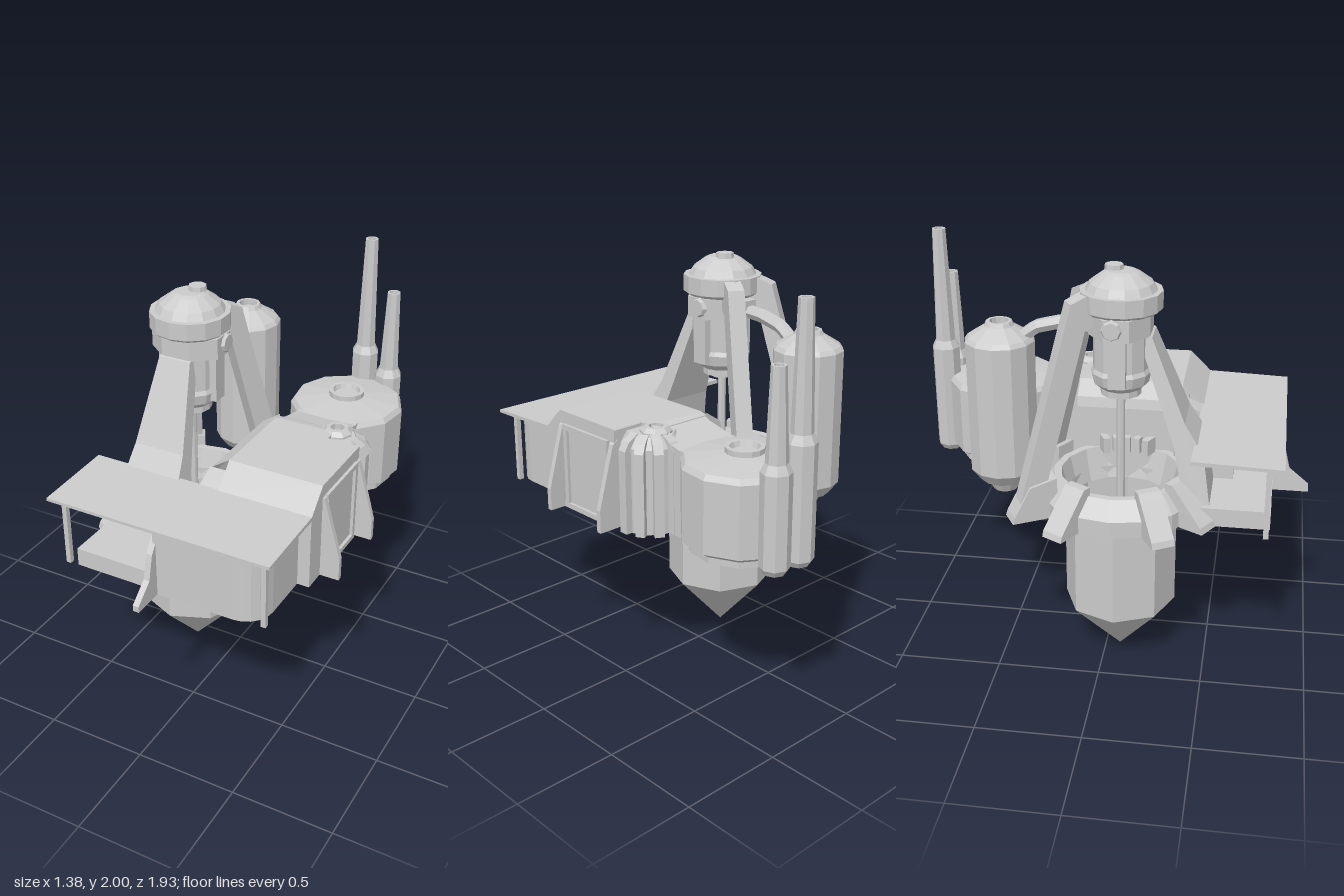
import * as THREE from 'three';

const mat = new THREE.MeshStandardMaterial({ color: 0xcccccc, flatShading: true, side: THREE.DoubleSide });
const CX = -0.225, CZ = 0.07; // axis of the drill tower
const BASE = 0.83;            // underside of the surface works

export function createModel() {
  const root = new THREE.Group();

  const add = (name, geo, x = 0, y = 0, z = 0) => {
    const m = new THREE.Mesh(geo, mat);
    m.name = name;
    m.position.set(x, y, z);
    root.add(m);
    return m;
  };
  const box = (name, x0, x1, y0, y1, z0, z1) =>
    add(name, new THREE.BoxGeometry(x1 - x0, y1 - y0, z1 - z0), (x0 + x1) / 2, (y0 + y1) / 2, (z0 + z1) / 2);
  const lathe = (name, pts, sides, x, z) =>
    add(name, new THREE.LatheGeometry(pts.map(p => new THREE.Vector2(...p)), sides), x, 0, z);
  const extrude = (pts, depth) =>
    new THREE.ExtrudeGeometry(new THREE.Shape(pts.map(p => new THREE.Vector2(...p))), { depth, bevelEnabled: false });
  // profile in (z, y), extruded from x0 to x1
  const sideSlab = (name, pts, x0, x1) =>
    add(name, extrude(pts, x1 - x0).rotateY(-Math.PI / 2).translate(x1, 0, 0));
  // profile in (x, y), extruded from z0 to z1
  const frontSlab = (name, pts, z0, z1) => add(name, extrude(pts, z1 - z0).translate(0, 0, z0));
  // leave a building open underneath and on each plane where it joins a neighbour
  const hollow = (mesh, ...joints) => {
    const p = mesh.geometry.attributes.position, kept = [];
    const open = [v => v.y < BASE + 0.001, ...joints];
    for (let i = 0; i < p.count; i += 3) {
      const tri = [0, 1, 2].map(k => new THREE.Vector3().fromBufferAttribute(p, i + k));
      if (!open.some(test => tri.every(test))) kept.push(...tri);
    }
    mesh.geometry = new THREE.BufferGeometry().setFromPoints(kept);
    mesh.geometry.computeVertexNormals();
  };
  // profile in (radius, y), standing radially around a vertical axis
  const radial = (name, pts, width, degrees, x = CX, z = CZ) => {
    const m = add(name, extrude(pts, width).translate(0, 0, -width / 2), x, 0, z);
    m.rotation.y = -degrees * Math.PI / 180;
    return m;
  };
  const tube = (name, pts, r, sides = 6) =>
    add(name, new THREE.TubeGeometry(new THREE.CatmullRomCurve3(pts.map(p => new THREE.Vector3(...p)), false, 'catmullrom', 0.1), 14, r, sides));

  // Shaft casing with pointed bottom, open at the top
  lathe('shaftCasing', [[0, 0.005], [0.272, 0.3], [0.272, BASE + 0.06]], 8, CX, CZ);
  // Collar around the shaft mouth
  lathe('shaftCollar', [[0.245, BASE], [0.39, BASE], [0.39, 0.91], [0.32, 0.99], [0.285, 0.99], [0.245, BASE]], 16, CX, CZ);
  for (const a of [150, 210, 120, 60])
    radial('collarButtress', [[0.3, BASE], [0.51, BASE], [0.5, 0.86], [0.37, 1.0], [0.34, 1.03], [0.3, 1.03]], 0.11, a);
  for (let i = -2; i <= 2; i++)
    radial('collarTooth', [[0.21, 0.98], [0.3, 0.98], [0.3, 1.06], [0.21, 1.06]], 0.035, i * 13);

  // Two narrow back legs of the tower
  for (const a of [-60, -120]) {
    radial('backLeg', [[0.1, 1.89], [0.17, 1.885], [0.255, 1.85], [0.54, BASE], [0.43, BASE], [0.19, 1.72], [0.1, 1.76]], 0.08, a);
    radial('legFoot', [[0.34, BASE], [0.56, BASE], [0.55, 0.86], [0.47, 1.0], [0.34, 1.03]], 0.11, a);
  }
  // Wide front leg, spreading towards its base
  const leg = extrude([[0.12, 1.7], [0.15, 1.69], [0.31, 1.3], [0.4, 1.16], [0.45, BASE], [0.34, BASE], [0.26, 1.2], [0.12, 1.6]], 1).translate(0, 0, -0.5);
  const lp = leg.attributes.position;
  for (let i = 0; i < lp.count; i++)
    lp.setZ(i, lp.getZ(i) * THREE.MathUtils.mapLinear(lp.getY(i), 1.7, 1.0, 0.16, 0.33));
  leg.computeVertexNormals();
  add('frontLeg', leg, CX, 0, CZ).rotation.y = -Math.PI / 2;

  // Tower head and drive motor
  lathe('towerHead', [[0, 1.79], [0.17, 1.79], [0.19, 1.805], [0.19, 1.885], [0.165, 1.885], [0.145, 1.92], [0.087, 1.962], [0.065, 1.972], [0, 1.972]], 14, CX, CZ);
  add('headCap', new THREE.CylinderGeometry(0.042, 0.045, 0.025, 8), CX + 0.02, 1.98, CZ - 0.035);
  const yoke = new THREE.CylinderGeometry(0.19, 0.19, 0.1, 8).rotateY(Math.PI / 8).scale(1, 1, 0.8);
  add('motorYoke', yoke, CX, 1.74, CZ);
  lathe('motor', [[0, 1.37], [0.05, 1.37], [0.05, 1.39], [0.095, 1.39], [0.095, 1.42], [0.13, 1.45], [0.14, 1.5], [0.13, 1.52], [0.13, 1.7]], 12, CX, CZ);
  add('drillRod', new THREE.CylinderGeometry(0.02, 0.02, 1.1, 8), CX, 0.85, CZ);
  for (const s of [-1, 1]) {
    const x = CX + s * 0.135;
    add('motorBolt', new THREE.CylinderGeometry(0.04, 0.05, 0.02, 8).rotateZ(-s * Math.PI / 2), CX + s * 0.18, 1.745, CZ - 0.02);
    box('motorLug', x - 0.02, x + 0.02, 1.46, 1.69, CZ - 0.04, CZ + 0.04);
  }

  // Slim tank behind the tower with its pipes
  lathe('slimTank', [[0, 0.86], [0.06, 0.86], [0.09, 0.92], [0.12, 0.92], [0.165, 0.98], [0.165, 1.62], [0.15, 1.64], [0.07, 1.69], [0.06, 1.71], [0.045, 1.71], [0.045, 1.68], [0, 1.68]], 12, CX, -0.495);
  box('headPipeFlange', CX - 0.04, CX + 0.04, 1.69, 1.78, -0.12, -0.04);
  tube('headPipe', [[CX, 1.73, -0.05], [CX, 1.72, -0.2], [CX, 1.69, -0.32], [CX, 1.63, -0.4]], 0.033);
  tube('tankPipe', [[-0.15, 0.97, -0.57], [-0.07, 0.97, -0.652], [0, 0.97, -0.655], [0.08, 0.97, -0.655]], 0.04, 4);

  // Broad tank, open underneath, with cap ring
  lathe('broadTank', [[0.25, BASE], [0.25, 0.86], [0.287, 0.885], [0.287, 1.225], [0.27, 1.25], [0.09, 1.275], [0, 1.275]], 11, 0.295, -0.6);
  lathe('broadTankCap', [[0.06, 1.27], [0.09, 1.27], [0.09, 1.3], [0.07, 1.3], [0.06, 1.27]], 14, 0.29, -0.6);

  // Two chimneys
  for (const [x, z, top, shoulder] of [[0.26, -0.9, 2, 1.39], [0.4, -0.89, 1.745, 1.29]])
    lathe('chimney', [[0, BASE], [0.05, BASE], [0.07, 0.86], [0.07, shoulder], [0.05, shoulder + 0.04], [0.034, top], [0.022, top], [0.022, top - 0.04], [0, top - 0.04]], 8, x, z);

  // Engine house: main block, rear bay, chamfered inner edge, link to the tank
  hollow(sideSlab('engineHouse', [[-0.07, BASE], [0.44, BASE], [0.44, 1.2], [0.33, 1.31], [-0.07, 1.31]], 0.12, 0.59),
    v => v.x < 0.125, v => v.z < -0.065);
  hollow(sideSlab('rearBay', [[-0.18, BASE], [-0.07, BASE], [-0.07, 1.31], [-0.14, 1.31], [-0.18, 1.3]], 0.12, 0.43),
    v => v.x < 0.125, v => v.z > -0.075);
  hollow(frontSlab('houseEdge', [[0.02, BASE], [0.12, BASE], [0.12, 1.31], [0.03, 1.25], [0.02, 1.2]], -0.18, 0.33),
    v => v.x > 0.115, v => v.z > 0.325);
  hollow(sideSlab('houseEdgeSlope', [[0.33, BASE], [0.44, BASE], [0.44, 1.2], [0.33, 1.25]], 0.02, 0.12),
    v => v.x > 0.115, v => v.z < 0.335);
  hollow(sideSlab('rearLink', [[-0.38, BASE], [-0.17, BASE], [-0.17, 1.3], [-0.22, 1.28], [-0.35, 1.25], [-0.38, 1.25]], 0.13, 0.45),
    v => v.z > -0.175, v => v.z < -0.375);

  // Rounded rear corner with radial ribs and a vent
  lathe('cornerTower', [[0.145, BASE], [0.145, 1.24], [0.11, 1.29], [0, 1.29]], 14, 0.43, -0.14);
  box('cornerWall', 0.43, 0.59, BASE, 1.305, -0.07, -0.06);
  for (const a of [-90, -60, -30, 0])
    radial('cornerRib', [[0.1, BASE], [0.175, BASE], [0.175, 1.23], [0.15, 1.27], [0.1, 1.3]], 0.045, a, 0.43, -0.14);
  lathe('vent', [[0, 1.27], [0.075, 1.27], [0.075, 1.3], [0.055, 1.32], [0.035, 1.32], [0.035, 1.29], [0, 1.29]], 8, 0.43, -0.175);

  // Side fins and framed panel on the left wall
  for (const z of [0.315, -0.06])
    frontSlab('sideFin', [[0.57, BASE], [0.685, BASE], [0.685, 0.94], [0.66, 1.03], [0.6, 1.24], [0.57, 1.26]], z - 0.013, z + 0.013);
  box('panelFrameTop', 0.58, 0.605, 1.225, 1.25, -0.03, 0.3);
  box('panelFrameBottom', 0.58, 0.605, BASE, 0.855, -0.03, 0.3);
  for (const z of [-0.02, 0.28]) box('panelFrameSide', 0.58, 0.605, BASE, 1.25, z - 0.012, z + 0.012);

  // Front hall with a rounded corner
  const plan = [[0, 0.42], [0.53, 0.42]];
  for (let i = 0; i <= 5; i++) {
    const a = i * Math.PI / 10;
    plan.push([0.4 + 0.13 * Math.cos(a), 0.68 + 0.13 * Math.sin(a)]);
  }
  plan.push([0, 0.81]);
  hollow(add('frontHall', extrude(plan, 1.185 - BASE).rotateX(Math.PI / 2).translate(0, 1.185, 0)), v => v.z < 0.425);
  sideSlab('frontFin', [[0.79, BASE], [0.965, BASE], [0.965, 0.86], [0.87, 0.94], [0.84, 1.06], [0.79, 1.13]], -0.015, 0.015);
  // Open porch on the other half, under the shared flat roof
  hollow(frontSlab('porchFloor', [[-0.43, BASE], [0, BASE], [0, 0.92], [-0.43, 0.92]], 0.43, 0.79), v => v.x > -0.005);
  box('porchCabinet', -0.11, 0.01, 0.92, 1.1, 0.45, 0.6);
  sideSlab('roof', [[0.425, 1.185], [0.84, 1.175], [0.84, 1.19], [0.425, 1.205]], -0.54, 0.59);
  for (const x of [-0.49, 0.535]) box('roofPost', x - 0.012, x + 0.012, BASE - 0.01, 1.185, 0.76, 0.785);

  return root;
}
